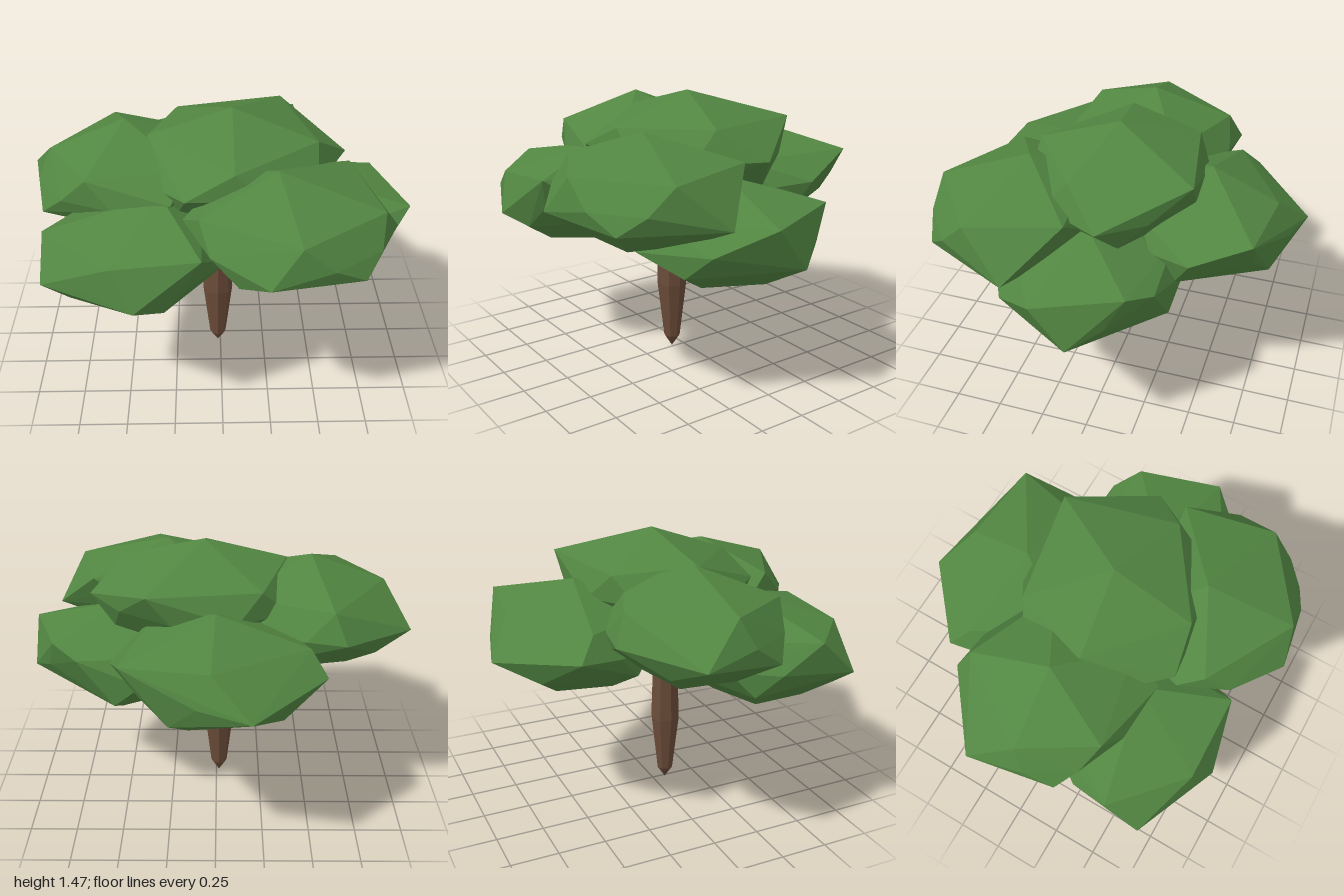
import * as THREE from 'three';
import { ConvexGeometry } from 'three/addons/geometries/ConvexGeometry.js';

// Foliage clumps: centre, radii and the few corners that stick out
const CLUMPS = [
  { name: 'topFoliage', c: [0.06, 1.18, 0.02], r: [0.56, 0.29, 0.49],
    corners: [[0.66, 1.19, -0.04], [0.34, 1.33, -0.43], [0.49, 1.34, 0.15], [-0.18, 1.2, 0.5], [-0.37, 1.35, 0.08]] },
  { name: 'frontLeftFoliage', c: [0.32, 1.06, 0.48], r: [0.53, 0.27, 0.46],
    corners: [[0.27, 1.33, 0.43], [0.89, 0.97, 0.35], [0.66, 0.97, 0.82], [0.21, 1, 0.94],
      [-0.19, 1.12, 0.52], [0.66, 1.21, 0.11]] },
  { name: 'frontRightFoliage', c: [-0.42, 0.9, 0.42], r: [0.46, 0.27, 0.45],
    corners: [[-0.3, 1.17, 0.38], [-0.42, 0.83, 0.88], [-0.87, 0.87, 0.69], [-0.87, 1.05, 0.5],
      [-0.1, 1.06, 0.79], [0.04, 0.83, 0.45]] },
  { name: 'rightFoliage', c: [-0.49, 1.11, -0.01], r: [0.49, 0.29, 0.47],
    corners: [[-1, 1.06, -0.2], [-0.88, 1.25, 0.02], [-0.64, 1.1, -0.48], [-0.91, 1, 0.24], [-0.25, 1.15, 0.45]] },
  { name: 'backFoliage', c: [0, 0.98, -0.45], r: [0.53, 0.28, 0.46],
    corners: [[-0.17, 0.94, -0.94], [0.45, 1.13, -0.75], [-0.54, 1, -0.61], [0.52, 1, -0.46], [0.02, 1.12, -0.8]] },
  { name: 'leftFoliage', c: [0.46, 0.83, 0.07], r: [0.51, 0.27, 0.51],
    corners: [[0.99, 0.97, 0.17], [0.99, 0.75, 0], [0.84, 1, -0.25], [0.71, 0.95, -0.35], [0.45, 0.8, 0.59]] },
];

// Rings of a coarse ball: count, radius, height, turn in steps of 36 degrees
const RINGS = [
  [1, 0, 1, 0], [5, 0.88, 0.47, 0], [10, 0.94, 0, 0.5],
  [5, 0.88, -0.47, 1], [5, 0.53, -0.85, 1],  [1, 0, -1, 0],
];

function ballPoints(c, r, yaw) {
  return RINGS.flatMap(([count, radius, height, turn]) => Array.from({ length: count }, (_, i) => {
    const a = yaw + turn * Math.PI / 5 + i * 2 * Math.PI / count;
    return new THREE.Vector3(radius * Math.sin(a) * r[0] + c[0], height * r[1] + c[1],
      radius * Math.cos(a) * r[2] + c[2]);
  }));
}

// Pair every corner with the nearest free point of the ball
function matchCorners(points, corners, r) {
  const used = new Set();
  let cost = 0;
  const pairs = corners.map((corner) => {
    let best = -1, bestD = Infinity;
    points.forEach((p, i) => {
      const d = Math.hypot(...r.map((s, k) => (p.getComponent(k) - corner[k]) / s));
      if (!used.has(i) && d < bestD) { best = i; bestD = d; }
    });
    used.add(best);
    cost += bestD * bestD;
    return [best, corner];
  });
  return { points, pairs, cost };
}

// Turn the ball to where it fits the corners best, then pull it out to them
function clumpGeometry({ c, r, corners }) {
  let best = { cost: Infinity };
  for (let deg = 0; deg < 72; deg += 4) {
    const match = matchCorners(ballPoints(c, r, THREE.MathUtils.degToRad(deg)), corners, r);
    if (match.cost < best.cost) best = match;
  }
  for (const [i, corner] of best.pairs) best.points[i].set(...corner);
  return new ConvexGeometry(best.points);
}

export function createModel() {
  const tree = new THREE.Group();
  tree.name = 'tree';
  const leafGreen = new THREE.MeshStandardMaterial({ color: 0x528642, flatShading: true });
  leafGreen.name = 'leafGreen';
  const barkBrown = new THREE.MeshStandardMaterial({ color: 0x6b4c39, flatShading: true });
  barkBrown.name = 'barkBrown';

  // Trunk: a long faceted spindle, pointed at the foot
  const profile = [[0, 0], [0.045, 0.07], [0.082, 0.39], [0.072, 0.72], [0.04, 0.93], [0, 1]]
    .map(([x, y]) => new THREE.Vector2(x, y));
  const trunk = new THREE.Mesh(new THREE.LatheGeometry(profile, 8), barkBrown);
  trunk.name = 'trunk';
  trunk.position.set(-0.015, 0, 0.07);
  tree.add(trunk);

  // Foliage
  for (const clump of CLUMPS) {
    const mesh = new THREE.Mesh(clumpGeometry(clump), leafGreen);
    mesh.name = clump.name;
    tree.add(mesh);
  }
  return tree;
}
